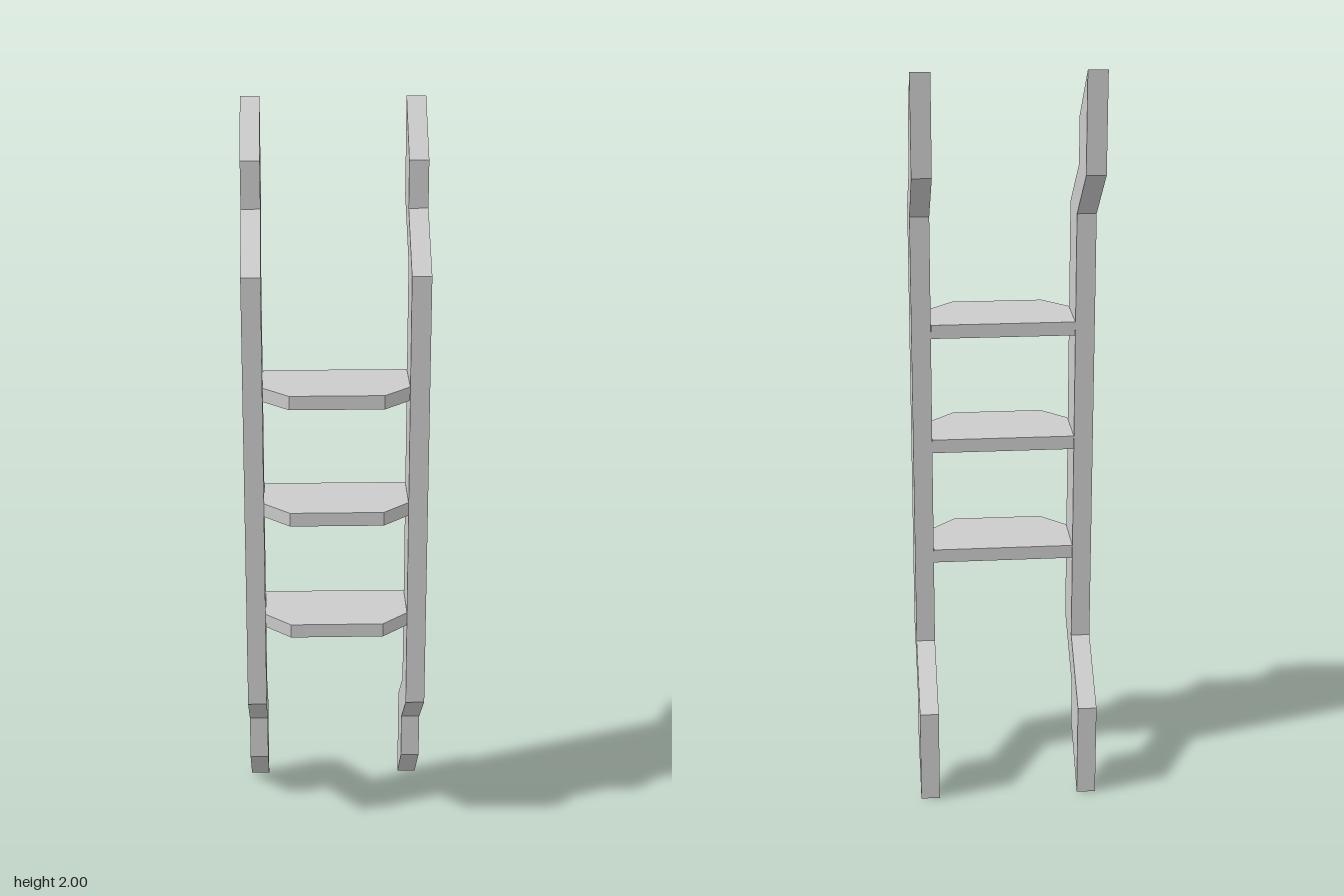
import * as THREE from 'three';

const material = new THREE.MeshStandardMaterial({ color: 0xcccccc, flatShading: true });

// Extrude an outline, centred on its thickness
function slab(points, thickness) {
  const shape = new THREE.Shape(points.map(([a, b]) => new THREE.Vector2(a, b)));
  const geometry = new THREE.ExtrudeGeometry(shape, { depth: thickness, bevelEnabled: false });
  return geometry.translate(0, 0, -thickness / 2);
}

export function createModel() {
  const ladder = new THREE.Group();
  ladder.name = 'ladder';

  // Side rails: upper half of the (z, y) outline, mirrored about mid height
  const front = [[-0.195, 2], [-0.048, 1.862], [-0.048, 1.737], [0.122, 1.602]];
  const back = [[-0.022, 1.602], [-0.195, 1.74]];
  const flip = (points) => points.map(([z, y]) => [z, 2 - y]).reverse();
  const railGeometry = slab([...front, ...flip(front), ...flip(back), ...back], 0.051);
  railGeometry.rotateY(-Math.PI / 2);
  for (const side of [-1, 1]) {
    const rail = new THREE.Mesh(railGeometry, material);
    rail.name = side > 0 ? 'leftRail' : 'rightRail';
    rail.position.x = side * 0.216;
    ladder.add(rail);
  }

  // Treads: flat steps with clipped front corners, outline in (x, z)
  const treadGeometry = slab([
    [-0.19, -0.022], [0.19, -0.022], [0.19, 0.126],
    [0.122, 0.193], [-0.122, 0.193], [-0.19, 0.126],
  ], 0.037);
  treadGeometry.rotateX(Math.PI / 2);
  ['lowerTread', 'middleTread', 'upperTread'].forEach((name, i) => {
    const tread = new THREE.Mesh(treadGeometry, material);
    tread.name = name;
    tread.position.y = 0.653 + i * 0.32;
    ladder.add(tread);
  });

  return ladder;
}
